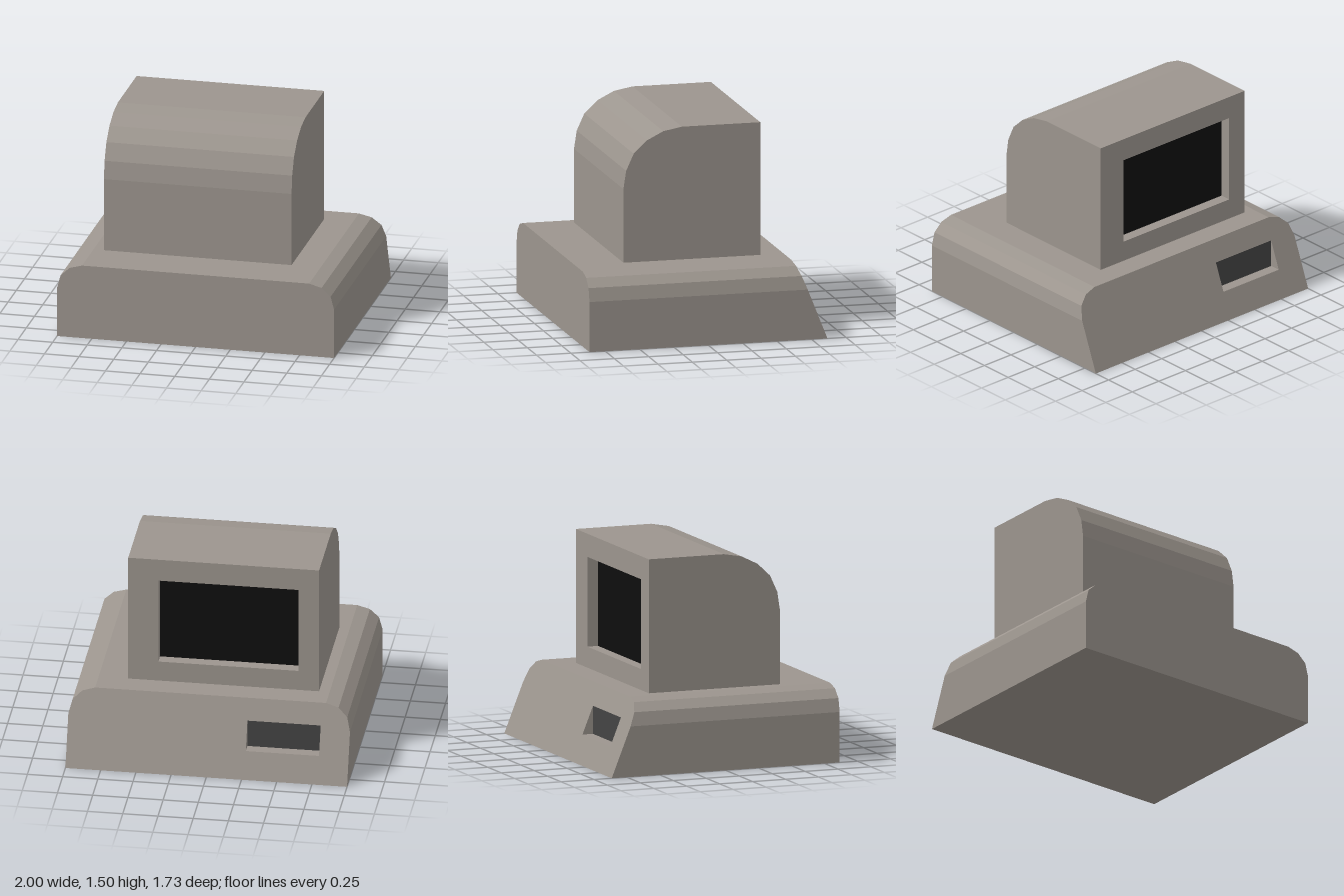
import * as THREE from 'three';

const casing = new THREE.MeshStandardMaterial({ name: 'casing grey', color: 0x9c958e });
const slotDark = new THREE.MeshStandardMaterial({ name: 'slot charcoal', color: 0x444444 });
const screenBlack = new THREE.MeshStandardMaterial({ name: 'screen black', color: 0x0e0e0e });

const polygon = (points) => new THREE.Shape(points.map(([x, y]) => new THREE.Vector2(x, y)));

// Rectangular opening between two corners
const opening = (x0, y0, x1, y1) =>
  new THREE.Path([[x0, y0], [x1, y0], [x1, y1], [x0, y1]].map(([x, y]) => new THREE.Vector2(x, y)));

const extrude = (shape, depth) => new THREE.ExtrudeGeometry(shape, { depth, bevelEnabled: false });

function addMesh(group, name, geometry, material) {
  const mesh = new THREE.Mesh(geometry, material);
  mesh.name = name;
  group.add(mesh);
}

// Flat panel facing -z that fills an opening
function panel(x0, y0, x1, y1, z) {
  return new THREE.PlaneGeometry(x1 - x0, y1 - y0)
    .rotateY(Math.PI)
    .translate((x0 + x1) / 2, (y0 + y1) / 2, z);
}

const BASE_TOP = 0.54, BACK = -0.865, BACK_TOP = -0.65, FRONT = 0.865;

// Base outline with rounded upper corners
function baseShape() {
  const half = [[1, 0], [1, 0.36], [0.975, 0.455], [0.91, 0.515], [0.82, BASE_TOP]];
  return polygon([...half, ...half.map(([x, y]) => [-x, y]).reverse()]);
}

function createBase() {
  const base = new THREE.Group();
  base.name = 'base';
  addMesh(base, 'baseBody', extrude(baseShape(), FRONT - BACK_TOP).translate(0, 0, BACK_TOP), casing);

  // Wedge with a sloping face, cut through by the slot
  const slot = [-0.79, 0.19, -0.27, 0.39];
  const shape = baseShape();
  shape.holes.push(opening(...slot));
  const wedge = extrude(shape, 1);
  const p = wedge.attributes.position;
  for (let i = 0; i < p.count; i++) {
    const slopeZ = BACK + (BACK_TOP - BACK) * p.getY(i) / BASE_TOP;
    p.setZ(i, p.getZ(i) > 0.5 ? BACK_TOP : slopeZ);
  }
  wedge.computeVertexNormals();
  addMesh(base, 'slopedPanel', wedge, casing);
  addMesh(base, 'slotPanel', panel(...slot, -0.71), slotDark);
  return base;
}

function createMonitor() {
  const monitor = new THREE.Group();
  monitor.name = 'monitor';
  const left = 0.61, right = -0.745, top = 1.495, back = -0.48, recess = -0.395;

  // Side profile as (z, y), swept across the width
  const profile = polygon([
    [recess, BASE_TOP], [0.515, BASE_TOP], [0.515, 1.07], [0.495, 1.2], [0.44, 1.32],
    [0.345, 1.41], [0.225, 1.47], [0.09, top], [recess, top],
  ]);
  addMesh(monitor, 'monitorBody',
    extrude(profile, left - right).rotateY(-Math.PI / 2).translate(left, 0, 0), casing);

  // Frame around the recessed screen
  const view = [-0.6, 0.69, 0.396, 1.33];
  const frame = polygon([[right, BASE_TOP], [left, BASE_TOP], [left, top], [right, top]]);
  frame.holes.push(opening(...view));
  addMesh(monitor, 'screenFrame', extrude(frame, recess - back).translate(0, 0, back), casing);
  addMesh(monitor, 'screen', panel(...view, recess - 0.004), screenBlack);
  return monitor;
}

export function createModel() {
  const model = new THREE.Group();
  model.name = 'desktopTerminal';
  model.add(createBase(), createMonitor());
  return model;
}
